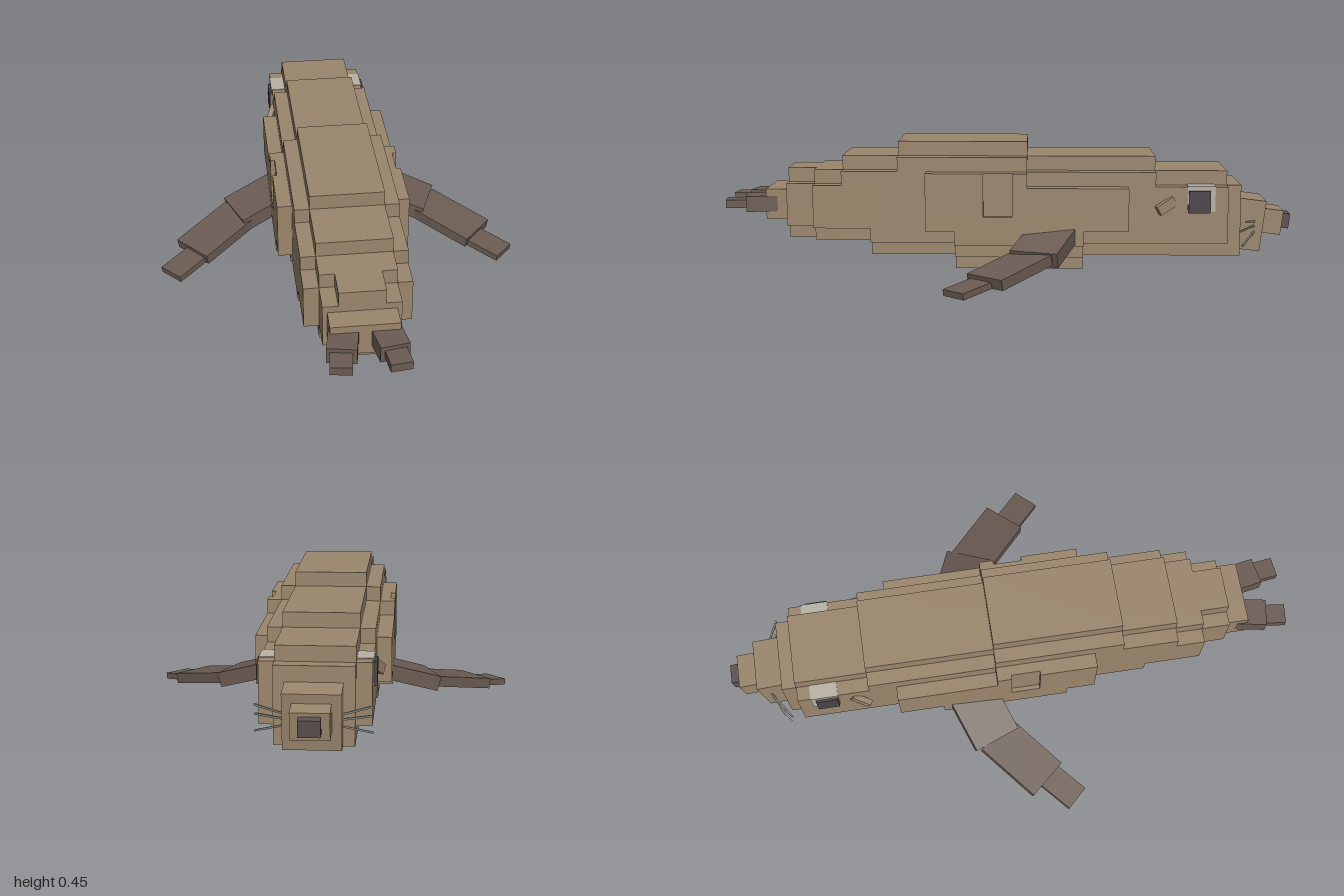
import * as THREE from 'three';

const mat = (name, color) => {
  const m = new THREE.MeshStandardMaterial({ color });
  m.name = name;
  return m;
};

export function createModel() {
  const model = new THREE.Group();
  model.name = 'seal';
  const fur = mat('brown fur', 0x9b866c);
  const skin = mat('dark flipper skin', 0x6b5c53);
  const eyeDark = mat('dark eye', 0x4a4348);
  const eyeLight = mat('pale eye patch', 0xb8b2a6);
  const noseMat = mat('nose', 0x5c5150);
  const whiskerMat = mat('grey whisker', 0x8a8a84);

  // Box given by its limits on each axis
  function box(name, material, x0, x1, y0, y1, z0, z1, parent = model) {
    const mesh = new THREE.Mesh(new THREE.BoxGeometry(x1 - x0, y1 - y0, z1 - z0), material);
    mesh.position.set((x0 + x1) / 2, (y0 + y1) / 2, (z0 + z1) / 2);
    mesh.name = name;
    parent.add(mesh);
    return mesh;
  }

  // Box running from a to b, its width kept level
  function beam(name, material, a, b, width, thick) {
    const p = new THREE.Vector3(...a), q = new THREE.Vector3(...b);
    const mesh = new THREE.Mesh(new THREE.BoxGeometry(width, thick, p.distanceTo(q)), material);
    mesh.position.copy(p).add(q).multiplyScalar(0.5);
    mesh.lookAt(q);
    mesh.name = name;
    model.add(mesh);
    return mesh;
  }

  // Stepped body: half width, bottom, top, front z, back z
  const body = new THREE.Group();
  body.name = 'body';
  model.add(body);
  [
    // rump
    [0.075, 0.10, 0.35, 0.5, 0.775],
    [0.125, 0.15, 0.30, 0.5, 0.775],
    [0.125, 0.10, 0.35, 0.4, 0.675],
    [0.175, 0.15, 0.30, 0.4, 0.675],
    // back
    [0.125, 0.10, 0.40, -0.515, 0.575],
    [0.175, 0.15, 0.35, -0.515, 0.575],
    [0.125, 0.10, 0.45, -0.07, 0.38],
    [0.175, 0.15, 0.40, -0.07, 0.38],
    // underside
    [0.125, 0.05, 0.30, -0.815, 0.475],
    [0.175, 0.10, 0.30, -0.765, 0.475],
    [0.125, 0.00, 0.20, -0.265, 0.18],
    [0.175, 0.05, 0.20, -0.265, 0.18],
    [0.225, 0.10, 0.20, -0.265, 0.18],
    // head
    [0.125, 0.10, 0.35, -0.765, -0.5],
    // flanks, with a shallow groove between the two halves
    [0.225, 0.15, 0.20, -0.42, 0.28],
    [0.225, 0.20, 0.35, 0.08, 0.28],
    [0.21, 0.20, 0.35, -0.02, 0.08],
    [0.225, 0.20, 0.35, -0.07, -0.02],
    [0.225, 0.20, 0.30, -0.42, -0.07],
  ].forEach(([hx, y0, y1, z0, z1], i) =>
    box('bodyBlock' + (i + 1), fur, -hx, hx, y0, y1, z0, z1, body));

  // Muzzle, tilted slightly down
  const muzzle = new THREE.Group();
  muzzle.name = 'muzzle';
  muzzle.position.set(0, 0.16, -0.8);
  muzzle.rotation.x = -0.12;
  model.add(muzzle);
  box('muzzleBase', fur, -0.09, 0.09, -0.09, 0.09, -0.1, 0.02, muzzle);
  box('snout', fur, -0.06, 0.06, -0.027, 0.06, -0.17, -0.1, muzzle);
  box('nose', noseMat, -0.034, 0.034, -0.005, 0.048, -0.2, -0.16, muzzle);

  // Tail stump
  box('tailBase', fur, -0.11, 0.11, 0.17, 0.278, 0.77, 0.85);

  for (const s of [1, -1]) {
    const side = s > 0 ? 'left' : 'right';
    const sided = (name, m, x0, x1, ...rest) =>
      box(side + name, m, Math.min(s * x0, s * x1), Math.max(s * x0, s * x1), ...rest);

    // Eye on a pale patch
    sided('EyePatch', eyeLight, 0.124, 0.178, 0.215, 0.303, -0.72, -0.625);
    sided('Eye', eyeDark, 0.17, 0.187, 0.21, 0.287, -0.703, -0.628);

    // Small ear
    const ear = sided('Ear', fur, 0.173, 0.193, 0.218, 0.252, -0.585, -0.515);
    ear.rotation.set(0.5, s * 0.4, 0, 'YXZ');

    // Whiskers
    for (const [y, dy, dz] of [[0.165, 0.015, -0.01], [0.15, -0.005, 0.01], [0.13, -0.035, 0]])
      beam(side + 'Whisker', whiskerMat, [s * 0.085, y, -0.87], [s * 0.18, y + dy, -0.815 + dz], 0.006, 0.006);

    // Front flipper in three segments
    beam(side + 'FlipperUpper', skin, [s * 0.16, 0.143, -0.17], [s * 0.355, 0.08, -0.095], 0.17, 0.052);
    beam(side + 'FlipperMiddle', skin, [s * 0.335, 0.083, -0.097], [s * 0.518, 0.037, 0.063], 0.155, 0.036);
    beam(side + 'FlipperTip', skin, [s * 0.49, 0.033, 0.06], [s * 0.598, 0.013, 0.16], 0.094, 0.022);

    // Hind flipper
    beam(side + 'HindFlipper', skin, [s * 0.06, 0.226, 0.8], [s * 0.082, 0.226, 0.925], 0.095, 0.055);
    beam(side + 'HindFlipperTip', skin, [s * 0.082, 0.226, 0.91], [s * 0.092, 0.226, 0.994], 0.07, 0.028);
  }
  return model;
}
